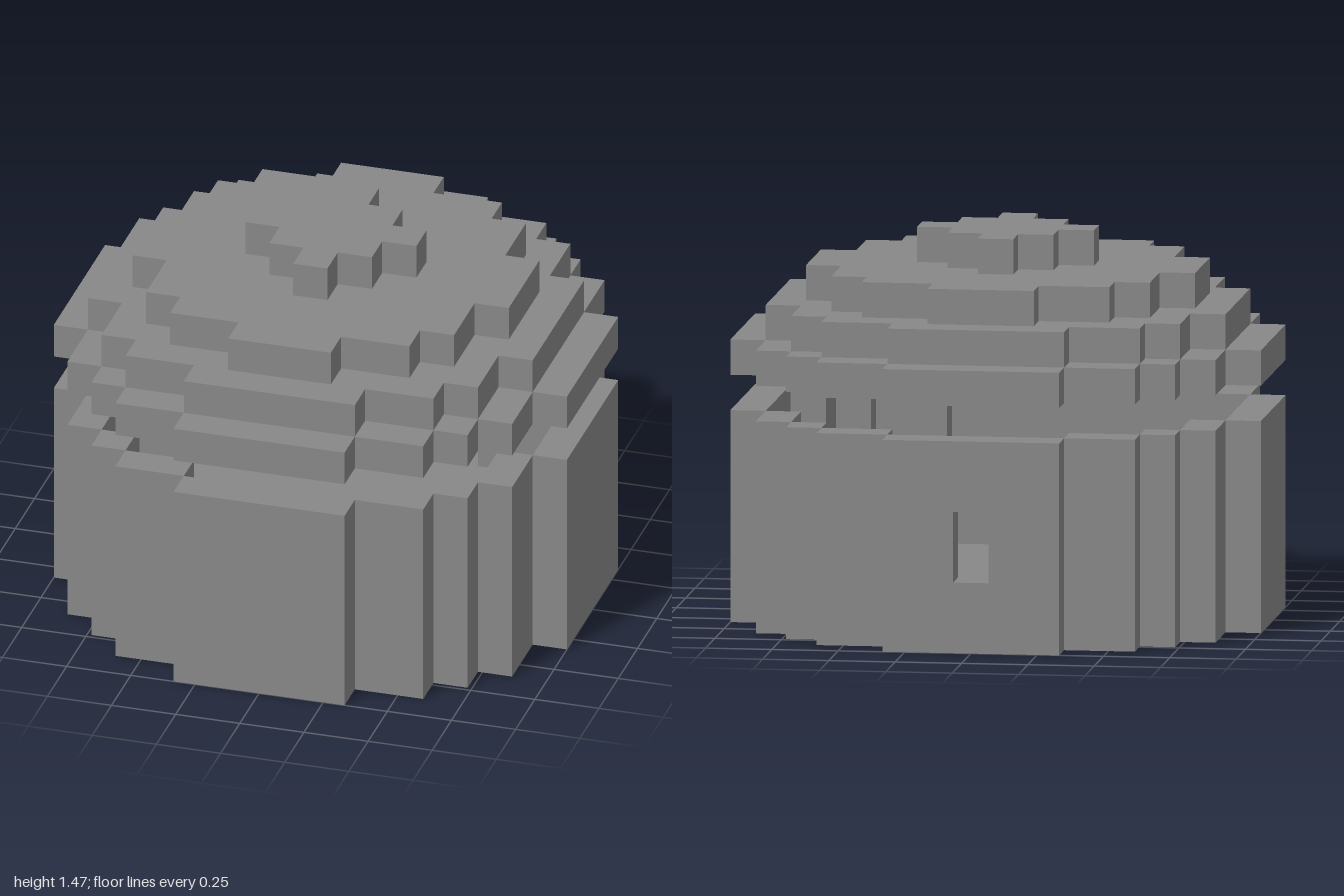
import * as THREE from 'three';

const U = 2 / 15; // one block

export function createModel() {
  const stone = new THREE.MeshStandardMaterial({ color: 0x888888 });
  stone.name = 'stone grey';
  const model = new THREE.Group();
  model.name = 'blockHut';

  // Stepped round outline; steps are the outer corners of one quadrant, in blocks
  function outline(steps, Type = THREE.Shape) {
    const quadrant = [];
    steps.forEach(([x, y], i) => {
      if (i) quadrant.push([x, steps[i - 1][1]]);
      quadrant.push([x, y]);
    });
    const points = [];
    for (let k = 0; k < 4; k++) {
      for (const [x, y] of quadrant) {
        const [px, py] = [[x, y], [-y, x], [-x, -y], [y, -x]][k];
        points.push(new THREE.Vector2(px * U, py * U));
      }
    }
    return new Type(points);
  }

  function addMesh(parent, name, geometry) {
    const mesh = new THREE.Mesh(geometry, stone);
    mesh.name = name;
    parent.add(mesh);
    return mesh;
  }

  // Flat layer one block high, optionally with a stepped opening
  function layer(name, y, steps, holeSteps) {
    const shape = outline(steps);
    if (holeSteps) shape.holes.push(outline(holeSteps, THREE.Path));
    const g = new THREE.ExtrudeGeometry(shape, { depth: U, bevelEnabled: false });
    g.rotateX(-Math.PI / 2);
    addMesh(model, name, g).position.y = y * U;
  }

  function block(parent, name, w, h, d, x, y, z) {
    addMesh(parent, name, new THREE.BoxGeometry(w * U, h * U, d * U))
      .position.set(x * U, (y + h / 2) * U, z * U);
  }

  // Straight wall panel with a one by two block window
  function windowPanel(parent) {
    const rect = (Type, x, y0, y1) => new Type([[-x, y0], [x, y0], [x, y1], [-x, y1]]
      .map(([a, b]) => new THREE.Vector2(a * U, b * U)));
    const shape = rect(THREE.Shape, 2.5, 0, 6);
    shape.holes.push(rect(THREE.Path, 0.5, 2, 4));
    const g = new THREE.ExtrudeGeometry(shape, { depth: U, bevelEnabled: false });
    addMesh(parent, 'windowPanel', g).position.z = 6.5 * U;
  }

  // Ring one block thick, made of four equal sides
  function ring(name, y, h, hasWindow) {
    const group = new THREE.Group();
    group.name = name;
    for (let k = 0; k < 4; k++) {
      const side = new THREE.Group();
      side.name = name + 'Side';
      side.rotation.y = k * Math.PI / 2;
      if (hasWindow && k === 2) windowPanel(side);
      else block(side, 'straightPanel', 5, h, 1, 0, y, 7);
      block(side, 'cornerStep', 2, h, 1, 3.5, y, 6);
      block(side, 'cornerStep', 1, h, 1, 5, y, 5);
      block(side, 'cornerStep', 1, h, 2, 6, y, 3.5);
      group.add(side);
    }
    model.add(group);
  }

  const wide = [[6.5, 2.5], [5.5, 4.5], [4.5, 5.5], [2.5, 6.5]];
  const middle = [[5.5, 1.5], [4.5, 3.5], [3.5, 4.5], [1.5, 5.5]];
  const cap = [[2.5, 0.5], [1.5, 1.5], [0.5, 2.5]];

  // Hollow base with a floor and a window at the back
  layer('floor', 0, wide);
  ring('wall', 0, 6, true);

  // Stepped dome, one open block above the wall
  ring('roofRim', 7, 1, false);
  layer('roofLower', 8, wide, middle);
  layer('roofUpper', 9, middle, cap);
  layer('roofCap', 10, cap);

  return model;
}
